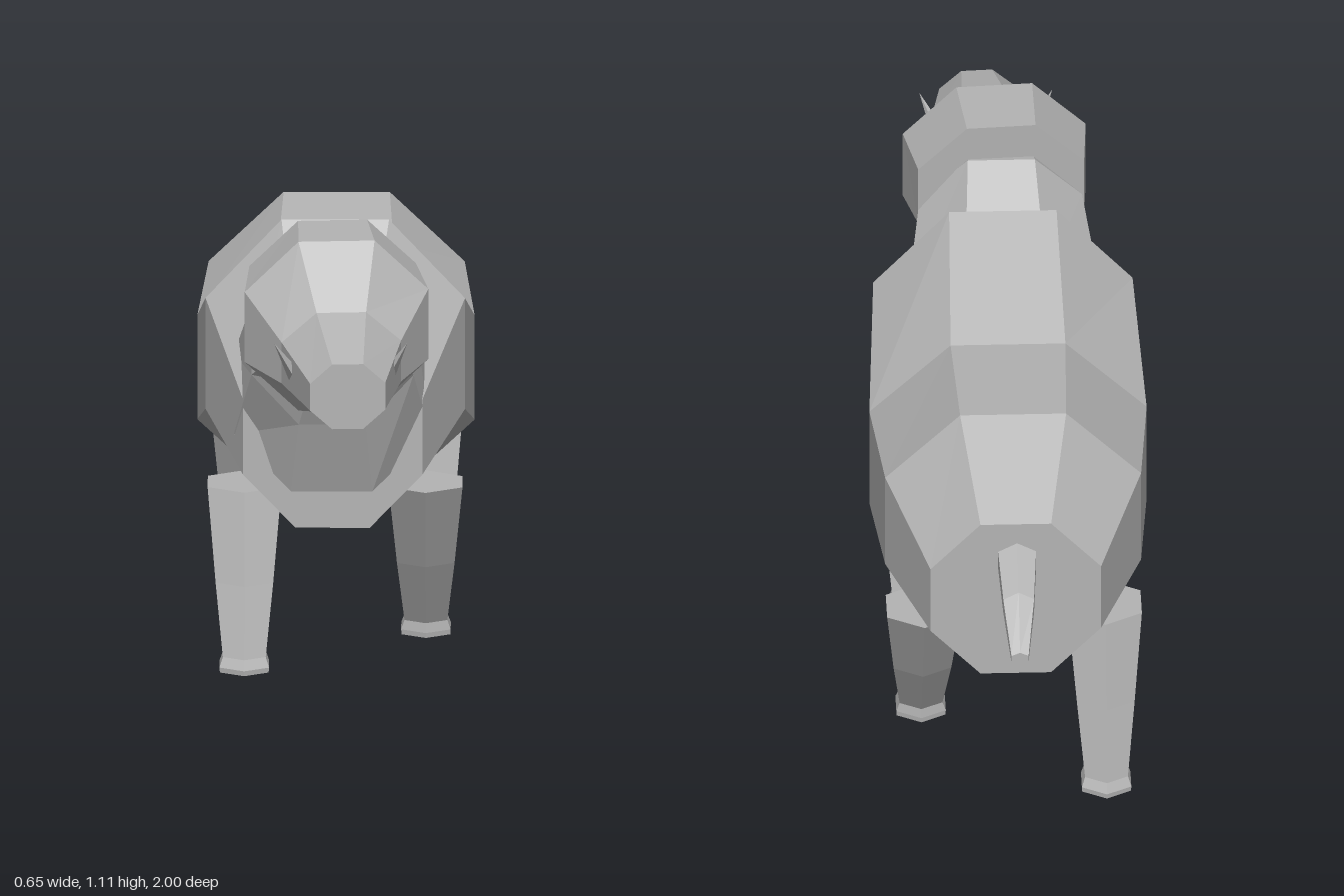
import * as THREE from 'three';

const hide = new THREE.MeshStandardMaterial({ color: 0xb4b4b4, flatShading: true });
hide.name = 'grey hide';

// Closed loft through polygonal rings.
// ring = [topZ, topY, bottomZ, bottomY, halfWidth, centreX]
function loft(name, rings, sides = 8) {
  const angles = Array.from({ length: sides }, (_, k) => ((k + 0.5) * 2 * Math.PI) / sides);
  const maxCos = Math.max(...angles.map((a) => Math.abs(Math.cos(a))));
  const maxSin = Math.max(...angles.map((a) => Math.abs(Math.sin(a))));
  const pts = rings.map(([tz, ty, bz, by, hw, cx = 0, skew = 0]) =>
    angles.map((a) => {
      const x = (Math.cos(a) / maxCos) * hw;
      const t = (Math.sin(a) / maxSin + 1) / 2;
      return [cx + x, by + (ty - by) * t, bz + (tz - bz) * t + skew * x];
    }));
  const pos = [];
  const tri = (a, b, c) => pos.push(...a, ...b, ...c);
  for (let i = 0; i < pts.length - 1; i++) {
    for (let k = 0; k < sides; k++) {
      const n = (k + 1) % sides;
      tri(pts[i][k], pts[i][n], pts[i + 1][n]);
      tri(pts[i][k], pts[i + 1][n], pts[i + 1][k]);
    }
  }
  const first = pts[0], last = pts[pts.length - 1];
  for (let k = 1; k < sides - 1; k++) {
    tri(first[0], first[k + 1], first[k]);
    tri(last[0], last[k], last[k + 1]);
  }
  const geo = new THREE.BufferGeometry();
  geo.setAttribute('position', new THREE.Float32BufferAttribute(pos, 3));
  geo.computeVertexNormals();
  const mesh = new THREE.Mesh(geo, hide);
  mesh.name = name;
  return mesh;
}

// Six-sided leg, lofted from hip to sole; the foot swings along z
function leg(name, x, topZ, footZ, soleY) {
  const ring = (y, t, r) => {
    const z = topZ + (footZ - topZ) * t;
    return [z + r, y, z - r, y, r * 0.866, x];
  };
  return loft(name, [
    ring(0.42, 0, 0.1),
    ring(0.21, 0.52, 0.078),
    ring(soleY + 0.035, 0.97, 0.058),
    ring(soleY + 0.012, 1, 0.067),
    ring(soleY, 1, 0.066),
  ], 6);
}

// Thin four-sided spike from base to tip
function spike(name, base, tip) {
  const a = new THREE.Vector3(...base), b = new THREE.Vector3(...tip);
  const dir = b.clone().sub(a);
  const mesh = new THREE.Mesh(new THREE.ConeGeometry(0.018, dir.length(), 4), hide);
  mesh.position.copy(a).add(b).multiplyScalar(0.5);
  mesh.quaternion.setFromUnitVectors(new THREE.Vector3(0, 1, 0), dir.normalize());
  mesh.name = name;
  return mesh;
}

export function createModel() {
  const model = new THREE.Group();
  model.name = 'animal';

  // Barrel body with raised shoulders
  model.add(loft('body', [
    [-0.8, 0.78, -0.8, 0.37, 0.2, 0.003],
    [-0.53, 0.915, -0.53, 0.34, 0.3],
    [-0.18, 0.89, -0.18, 0.28, 0.325],
    [0.17, 1.04, 0.17, 0.39, 0.304],
    [0.42, 0.8, 0.42, 0.36, 0.21, -0.005],
  ]));

  // Neck bending up from the chest into the head
  model.add(loft('neck', [
    [0.17, 0.855, 0.445, 0.455, 0.23, -0.007],
    [0.42, 1.025, 0.51, 0.635, 0.19, -0.005],
    [0.6, 1.0, 0.56, 0.74, 0.14],
  ]));

  // Head tapering to a blunt snout, turned slightly to the left
  model.add(loft('head', [
    [0.43, 1.11, 0.44, 0.745, 0.195, -0.005, -0.07],
    [0.615, 1.11, 0.615, 0.7, 0.215, 0.005, -0.07],
    [0.755, 0.975, 0.755, 0.735, 0.14, 0.017, -0.07],
    [0.995, 0.915, 0.995, 0.758, 0.088, 0.033, -0.06],
  ]));

  // Tusks
  model.add(spike('leftTusk', [0.125, 0.84, 0.825], [0.172, 0.933, 0.872]));
  model.add(spike('rightTusk', [-0.09, 0.84, 0.83], [-0.14, 0.933, 0.875]));

  // Drooping tail
  model.add(loft('tail', [
    [-1.0, 0.55, -1.0, 0.515, 0.02],
    [-0.91, 0.66, -0.91, 0.585, 0.036],
    [-0.78, 0.74, -0.78, 0.645, 0.046],
  ], 6));

  // Legs in mid stride
  model.add(
    leg('frontLeftLeg', 0.212, 0.23, 0.065, 0.013),
    leg('frontRightLeg', -0.212, 0.23, 0.405, 0.013),
    leg('rearLeftLeg', 0.212, -0.575, -0.385, 0.02),
    leg('rearRightLeg', -0.212, -0.575, -0.705, 0),
  );
  return model;
}
